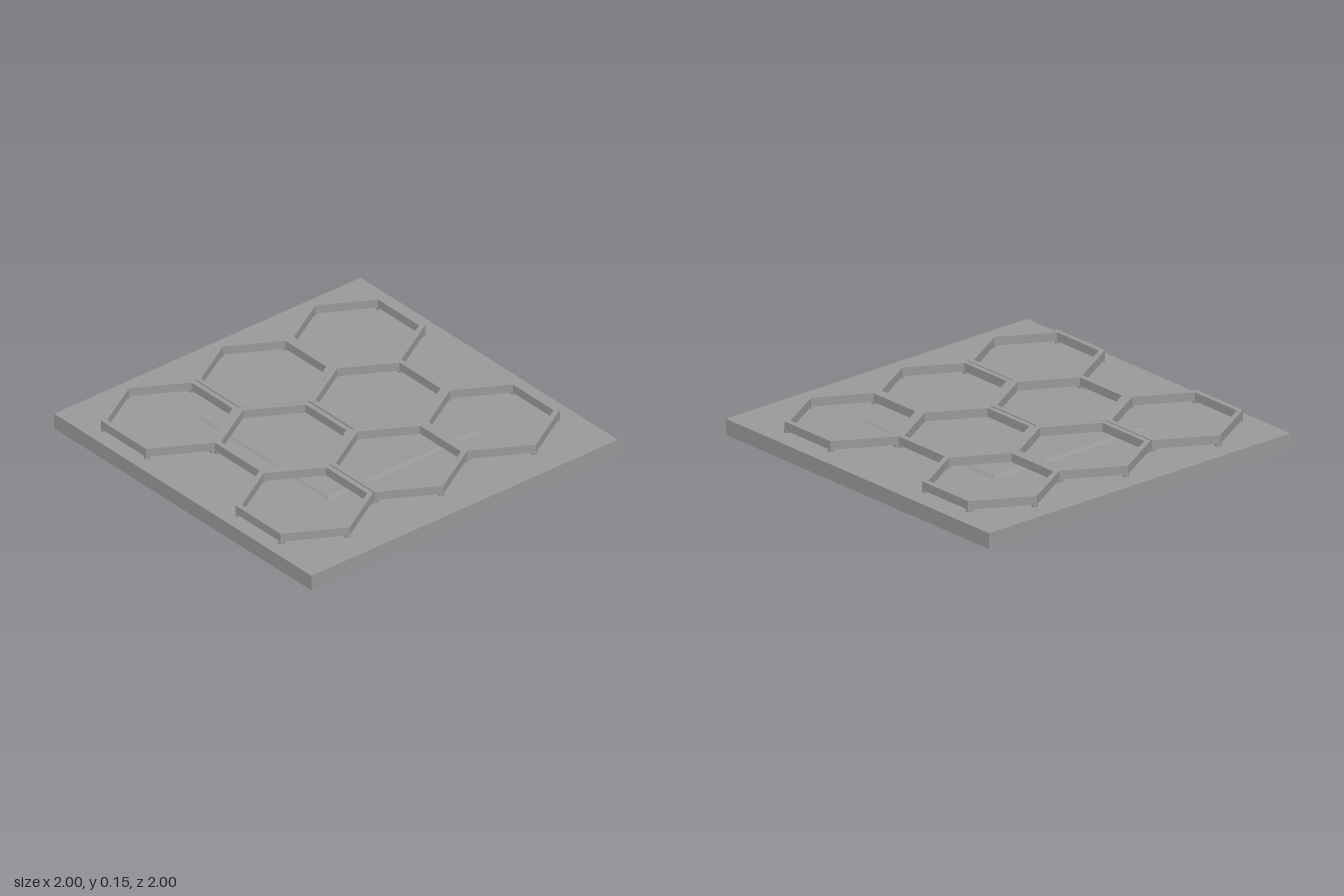
import * as THREE from 'three';

const BASE_TOP = 0.086, RING_BOTTOM = 0.1, RING_TOP = 0.147;
const OUTER = 0.35, INNER = 0.318;

// Corner points of a flat-topped hexagon
const hexagon = (r) => Array.from({ length: 6 }, (_, i) =>
  new THREE.Vector2(r * Math.cos(i * Math.PI / 3), r * Math.sin(i * Math.PI / 3)));

export function createModel() {
  const group = new THREE.Group();
  const grey = new THREE.MeshStandardMaterial({ color: 0x999999 });
  grey.name = 'grey';

  const add = (parent, name, geometry, x, y, z) => {
    const mesh = new THREE.Mesh(geometry, grey);
    mesh.name = name;
    mesh.position.set(x, y, z);
    parent.add(mesh);
    return mesh;
  };

  // Square base slab
  add(group, 'base', new THREE.BoxGeometry(2, BASE_TOP, 2), 0, BASE_TOP / 2, 0);

  // Thin raised plate with sloping rim
  const plateHeight = 0.013, half = 0.497;
  const plate = new THREE.CylinderGeometry(
    (half - 0.012) * Math.SQRT2, half * Math.SQRT2, plateHeight, 4).toNonIndexed();
  plate.rotateY(Math.PI / 4);
  plate.computeVertexNormals();
  add(group, 'centrePlate', plate, 0.009, BASE_TOP + plateHeight / 2, -0.018);

  // Hexagonal frame and its corner pegs
  const shape = new THREE.Shape(hexagon(OUTER));
  shape.holes.push(new THREE.Path(hexagon(INNER).reverse()));
  const frame = new THREE.ExtrudeGeometry(shape, {
    depth: RING_TOP - RING_BOTTOM, bevelEnabled: false,
  });
  frame.rotateX(-Math.PI / 2);
  const pegHeight = RING_BOTTOM - BASE_TOP;
  const peg = new THREE.CylinderGeometry(0.016, 0.016, pegHeight, 16);

  // Honeycomb layout: two outer columns of three, one middle column of two
  const columns = [
    { x: -0.55, zs: [-0.595, 0.01, 0.623] },
    { x: -0.025, zs: [-0.295, 0.32] },
    { x: 0.497, zs: [-0.595, 0.01, 0.623] },
  ];
  for (const { x, zs } of columns) {
    for (const z of zs) {
      const cell = new THREE.Group();
      cell.name = 'hexCell';
      cell.position.set(x, 0, z);
      group.add(cell);
      add(cell, 'hexFrame', frame, 0, RING_BOTTOM, 0);
      for (const p of hexagon((OUTER + INNER) / 2)) {
        add(cell, 'peg', peg, p.x, BASE_TOP + pegHeight / 2, p.y);
      }
    }
  }
  return group;
}
